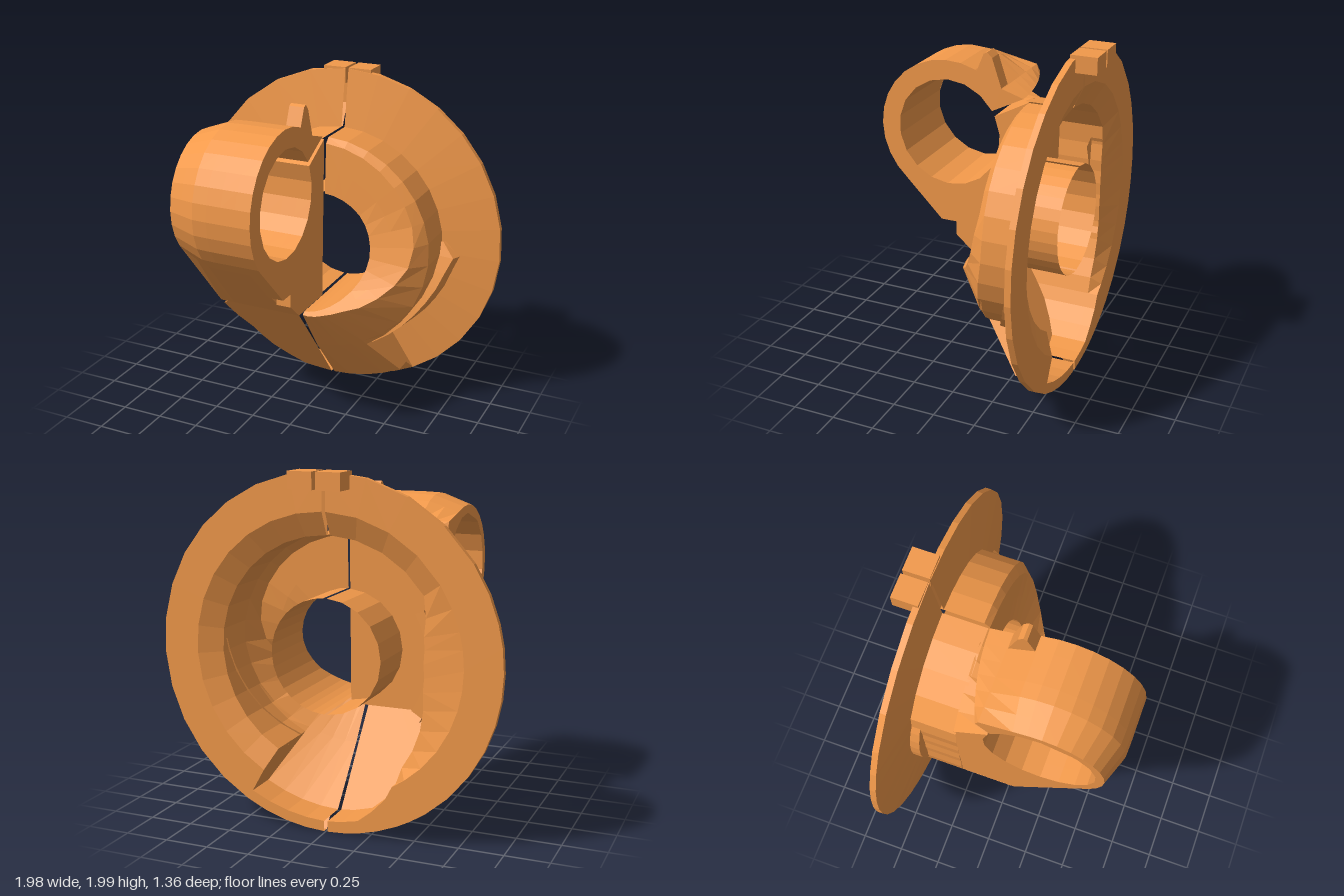
import * as THREE from 'three';

const GAP = 0.01;   // half of the slit between the two halves
const mat = new THREE.MeshStandardMaterial({ color: 0xf2994a, flatShading: true, side: THREE.DoubleSide });

// Linear interpolation in a short list of [key, value] pairs
function lerp(table, k) {
  if (k <= table[0][0]) return table[0][1];
  for (let i = 1; i < table.length; i++) {
    const [k0, v0] = table[i - 1], [k1, v1] = table[i];
    if (k <= k1) return v0 + (v1 - v0) * (k - k0) / (k1 - k0);
  }
  return table[table.length - 1][1];
}

// Sweep a section of [radius, z] points around the axis (0, 1); 0 degrees is the bottom
function sweep(name, side, angles, section) {
  const pos = [], idx = [];
  let n = 0;
  angles.forEach((deg, i) => {
    const t = deg * Math.PI / 180, pts = section(deg, t);
    n = pts.length;
    pts.forEach(([r, z], j) => {
      pos.push(side * Math.max(GAP, r * Math.sin(t)), 1 - r * Math.cos(t), z);
      if (i && j) {
        const a = (i - 1) * n + j - 1, b = a + n;
        if (side > 0) idx.push(a, b, a + 1, b, b + 1, a + 1);
        else idx.push(a, a + 1, b, b, a + 1, b + 1);
      }
    });
  });
  const g = new THREE.BufferGeometry();
  g.setAttribute('position', new THREE.Float32BufferAttribute(pos, 3));
  g.setIndex(idx);
  g.computeVertexNormals();
  const m = new THREE.Mesh(g, mat);
  m.name = name;
  return m;
}

// Extrude a [z, y] outline along -x, from x0 over a width
function slab(name, outline, x0, width, steps, rule) {
  const shape = new THREE.Shape(outline.map(([z, y]) => new THREE.Vector2(z, y)));
  const g = new THREE.ExtrudeGeometry(shape, { depth: width, steps, bevelEnabled: false });
  g.rotateY(-Math.PI / 2).translate(x0, 0, 0);
  if (rule) {
    const p = g.attributes.position, v = new THREE.Vector3();
    for (let i = 0; i < p.count; i++) {
      rule(v.fromBufferAttribute(p, i));
      p.setXYZ(i, v.x, v.y, v.z);
    }
  }
  g.computeVertexNormals();
  const m = new THREE.Mesh(g, mat);
  m.name = name;
  return m;
}

const range = (a, b, n) => Array.from({ length: n + 1 }, (_, i) => a + (b - a) * i / n);

// Radius of the outer wall on the left and right half
const SCOOP_END = 29;
const leftWall = [[0, .93], [12, .92], [25, .83], [36, .72], [55, .64], [74, .56], [90, .54], [105, .56], [124, .65]];
const wallR = (side, deg) => side > 0 ? (deg <= SCOOP_END ? .93 : .65) : lerp(leftWall, deg);

// Front surface: curved face of the open half, sloping underside of the other
const faceZ = y => lerp([[.66, .1], [.7, .05], [.8, -.06], [.9, -.12], [1, -.16], [1.2, -.2], [1.66, -.22]], y);
const slopeZ = y => lerp([[.07, -.37], [.4, -.11], [.66, .1]], y);
const rimR = [[0, .335], [25, .35], [41, .38], [65, .475], [85, .56], [100, .59], [180, .62]];
const edgeR = [[0, .61], [30, .62], [60, .65]];
const edgeZ = [[0, -.1], [30, -.13], [60, -.19], [90, -.25]];

const rightAngles = [...range(0, SCOOP_END, 4), SCOOP_END + .01, ...range(40, 180, 12)];
const leftAngles = [0, 6, 12, 18, 25, 30, 36, 45, 55, 55.01, 65, 74, 82, 90, 98, 105, 114, 124, 138, 152, 166, 180];

// Clamp outline: split ring, web down to the body, optional notch in the web
function clampOutline(notched) {
  const C = [.25, 1.395];
  const arc = (r, a, b, n) => range(a, b, n).map(d => {
    const t = d * Math.PI / 180;
    return [C[0] + r * Math.cos(t), C[1] + r * Math.sin(t)];
  });
  return [
    ...arc(.43, 113, -50, 13),
    ...(notched ? [[.305, .84], [.21, .84], [.21, .757]] : []),
    [.1, .66], [-.22, .66], [-.235, 1.64],
    ...arc(.318, 154, 508, 18),
    [-.21, 1.66], [-.08, 1.7],
  ];
}

// Taper the ring's far end and fit the split to the round body
function clampRule(v) {
  const k = (v.x / .53) ** 2;
  const dz = v.z - .25, dy = v.y - 1.395, r = Math.hypot(dz, dy);
  if (v.z < -.2 && v.y > 1.65) v.z += .11 * k;
  else if (v.z < -.2 && v.y > 1.6) v.y = Math.min(v.y, 1 + Math.sqrt(.65 * .65 - v.x * v.x));
  else if (v.x < -.35 && r > .4 && r < .44) {
    const s = 1 - .15 * (-.35 - v.x) / .18;
    v.z = .25 + dz * s;
    v.y = 1.395 + dy * s;
  }
}

export function createModel() {
  const model = new THREE.Group();

  for (const side of [1, -1]) {
    const half = new THREE.Group();
    half.name = side > 0 ? 'leftHalf' : 'rightHalf';
    model.add(half);
    const angles = side > 0 ? rightAngles : leftAngles;

    // Flange ring with a bevelled inner lip
    half.add(sweep('flange', side, angles, deg => {
      const r = wallR(side, deg);
      return [[r, -.48], [.99, -.525], [.99, -.56], [Math.max(.78, r), -.56], [r, -.5], [r, -.48]];
    }));

    // Locating tab at the top
    const tab = new THREE.Mesh(new THREE.BoxGeometry(.14, .095, .15), mat);
    tab.position.set(side * .08, 1.948, -.605);
    tab.name = 'tab';
    half.add(tab);
  }
  const [open, closed] = model.children;

  // Open half: wall, scoop, curved face and inner tube in one shell
  open.add(sweep('openShell', 1, rightAngles, (deg, t) => {
    const R = wallR(1, deg), scoop = deg <= SCOOP_END;
    const rim = lerp(rimR, deg), e = lerp(edgeR, deg), z = lerp(edgeZ, deg);
    const y = r => 1 - r * Math.cos(t);
    const mid = (rim + .32) / 2;
    return [[R, -.5], [R, scoop ? -.37 : z - .02], [e, z], [rim, faceZ(y(rim))],
      [mid, faceZ(y(mid))], [.32, faceZ(y(.32))], [.32, -.55]];
  }));

  // Rising fin that runs from the scoop up along the wall
  open.add(sweep('fin', 1, [...range(SCOOP_END, 86, 7), 93], deg => {
    const z = lerp([[29, -.22], [55, -.33], [86, -.44], [93, -.47]], deg);
    const r = lerp([[29, .67], [60, .685], [80, .71], [86, .735], [93, .66]], deg);
    return [[.64, z], [r, z], [r + .025, -.5]];
  }));

  // Closed half: wall and sloping scoop below the clamp
  closed.add(sweep('closedShell', -1, leftAngles, (deg, t) => {
    const R = wallR(-1, deg), c = Math.cos(t);
    if (deg > 55) return [[R, -.5], [R, -.22], [R, -.22], [R, -.22]];
    const r1 = Math.min(R, .6 / c), r2 = Math.min(R, .34 / c);
    return [[R, -.5], ...[R, r1, r2].map(r => [r, slopeZ(1 - r * c)])];
  }));
  closed.add(sweep('innerTube', -1, range(0, 180, 10), () => [[.32, -.55], [.32, -.2]]));

  // Shallow bulge beside the flat flank
  closed.add(sweep('flankBulge', -1, range(58, 118, 8), () => [[.61, -.5], [.61, -.43], [.53, -.43]]));

  // Split clamp ring with its web
  closed.add(slab('clampNotched', clampOutline(true), -GAP, .09, 1, clampRule));
  closed.add(slab('clamp', clampOutline(false), -.1, .43, 5, clampRule));

  // Small lug on top of the clamp
  closed.add(slab('lug', [[.08, 1.77], [.03, 1.89], [.01, 1.9], [-.02, 1.87], [-.08, 1.69]], -GAP, .09, 1));

  return model;
}
